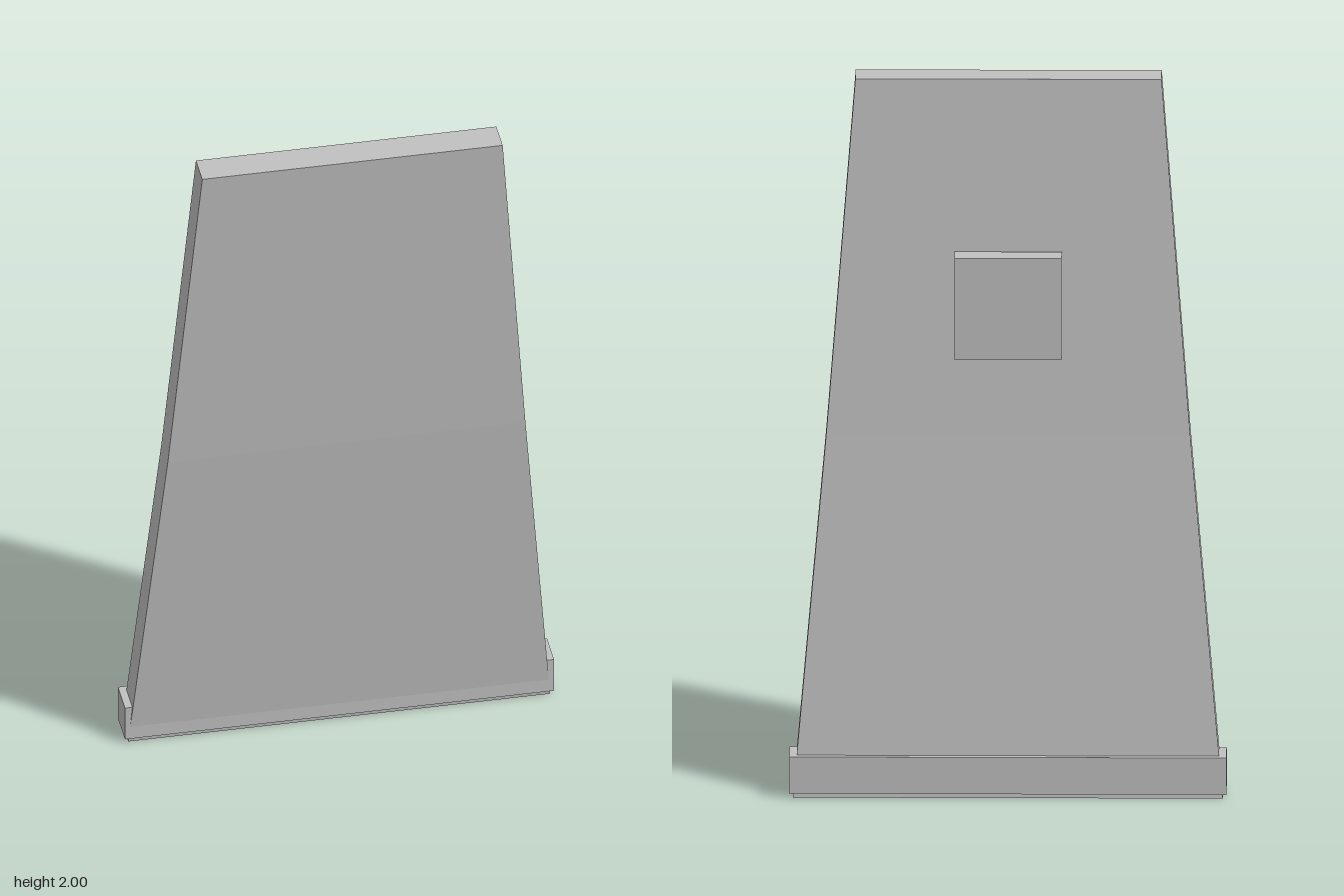
import * as THREE from 'three';

export function createModel() {
  const model = new THREE.Group();
  model.name = 'taperedPanel';
  const grey = new THREE.MeshStandardMaterial({ color: 0xc0c0c0 });
  grey.name = 'lightGrey';

  const add = (name, geometry, x = 0, y = 0, z = 0) => {
    const mesh = new THREE.Mesh(geometry, grey);
    mesh.name = name;
    mesh.position.set(x, y, z);
    model.add(mesh);
  };

  // Leaning slab, narrower at the top, with a slight bend halfway up
  const rows = [
    { halfWidth: 0.59, z: -0.093 },
    { halfWidth: 0.5, z: 0.013 },
    { halfWidth: 0.42, z: 0.097 },
  ];
  const slab = new THREE.BoxGeometry(2, 2, 0.091, 1, 2, 1);
  const p = slab.attributes.position;
  for (let i = 0; i < p.count; i++) {
    const row = rows[Math.round(p.getY(i)) + 1];
    p.setXYZ(i, p.getX(i) * row.halfWidth, p.getY(i) + 1, p.getZ(i) + row.z);
  }
  const flatSlab = slab.toNonIndexed();
  flatSlab.computeVertexNormals();
  add('slab', flatSlab);

  // Rail along the foot of the slab
  add('footRail', new THREE.BoxGeometry(1.2, 0.105, 0.102), 0, 0.065, -0.093);

  // Small block on the back
  add('backBlock', new THREE.BoxGeometry(0.294, 0.29, 0.066), 0, 1.375, -0.028);

  return model;
}
